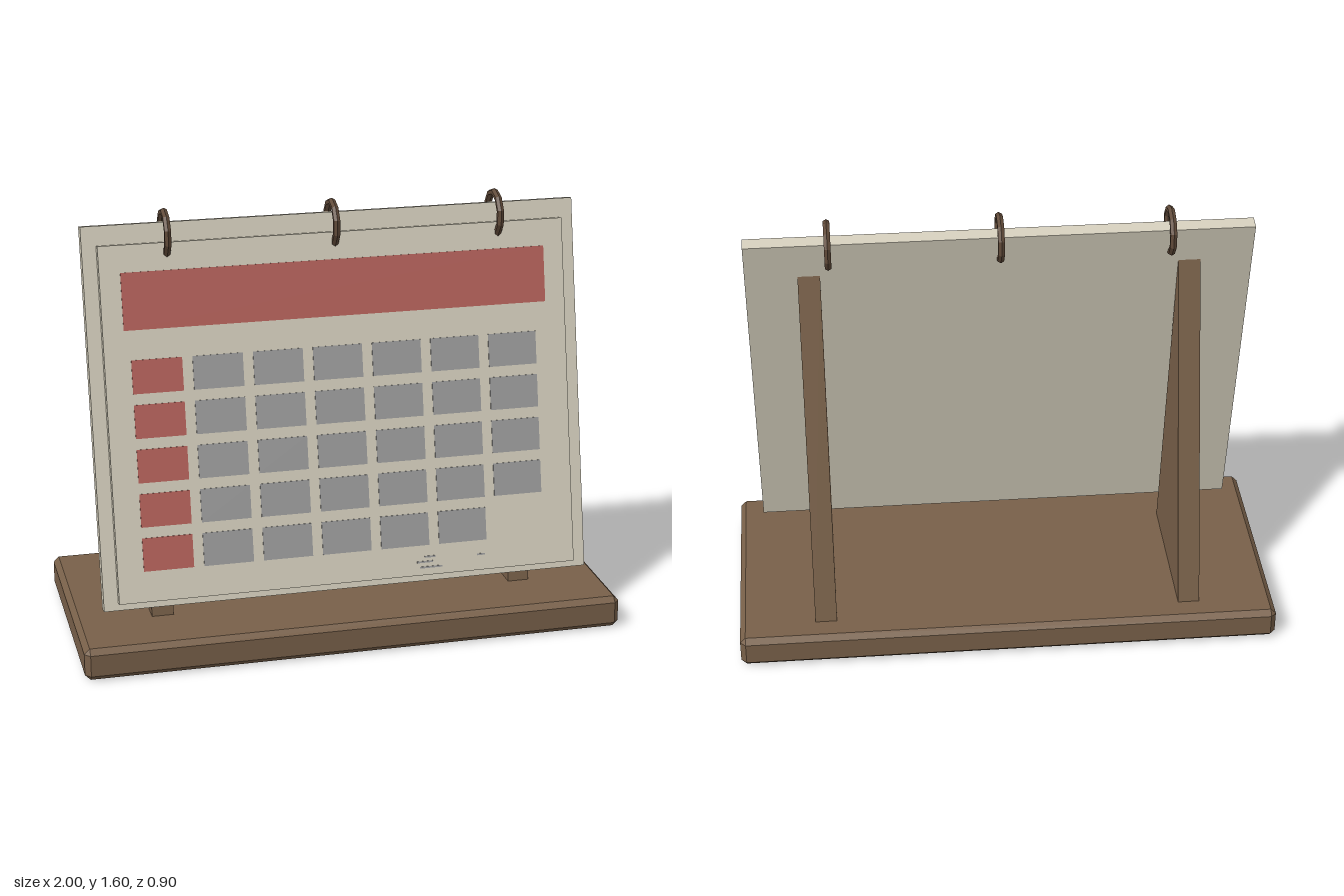
import * as THREE from 'three';
import { ConvexGeometry } from 'three/addons/geometries/ConvexGeometry.js';

const material = (name, color) => {
  const m = new THREE.MeshStandardMaterial({ color });
  m.name = name;
  return m;
};

// Box with a flat chamfer on every edge
function chamferedBox(w, h, d, c) {
  const points = [];
  for (const x of [-w / 2, w / 2]) for (const y of [-h / 2, h / 2]) for (const z of [-d / 2, d / 2]) {
    const cx = x - Math.sign(x) * c, cy = y - Math.sign(y) * c, cz = z - Math.sign(z) * c;
    points.push(new THREE.Vector3(x, cy, cz), new THREE.Vector3(cx, y, cz), new THREE.Vector3(cx, cy, z));
  }
  return new ConvexGeometry(points);
}

export function createModel() {
  const wood = material('wood', 0x786049);
  const ringBrown = material('dark ring', 0x604a39);
  const cream = material('cream paper', 0xd4cebc);
  const red = material('red print', 0xb5625b);
  const grey = material('grey print', 0x9c9c9c);

  const model = new THREE.Group();
  model.name = 'deskCalendar';
  const add = (parent, name, geometry, mat, x = 0, y = 0, z = 0) => {
    const mesh = new THREE.Mesh(geometry, mat);
    mesh.name = name;
    mesh.position.set(x, y, z);
    parent.add(mesh);
    return mesh;
  };

  // Base slab
  add(model, 'base', chamferedBox(2, 0.12, 0.9, 0.02), wood, 0, 0.06, 0);

  // Two triangular supports, profile in z and y
  const profile = new THREE.Shape();
  profile.moveTo(-0.21, 0.11);
  profile.lineTo(0.36, 0.11);
  profile.lineTo(0, 1.405);
  profile.closePath();
  const supportGeometry = new THREE.ExtrudeGeometry(profile, { depth: 0.08, bevelEnabled: false });
  supportGeometry.translate(0, 0, -0.04).rotateY(Math.PI / 2);
  for (const side of [-1, 1]) {
    add(model, side < 0 ? 'rightSupport' : 'leftSupport', supportGeometry, wood, side * 0.68, 0, 0);
  }

  // Leaning panel: origin at the top front edge of the backing board
  const tilt = THREE.MathUtils.degToRad(12);
  const panel = new THREE.Group();
  panel.name = 'leaningPanel';
  panel.position.set(0, 1.547, 0.017);
  panel.rotation.x = -tilt;
  model.add(panel);
  add(panel, 'backingBoard', new THREE.BoxGeometry(1.814, 1.378, 0.05), cream, 0, -0.689, -0.025);
  add(panel, 'page', new THREE.BoxGeometry(1.71, 1.28, 0.033), cream, 0, -0.71, 0.0165);

  // Printed areas, given by their upright extents
  const printed = (name, mat, x0, x1, y0, y1) => {
    const height = (y1 - y0) / Math.cos(tilt);
    const y = ((y0 + y1) / 2 - 1.554) / Math.cos(tilt);
    add(panel, name, new THREE.BoxGeometry(x1 - x0, height, 0.004), mat, (x0 + x1) / 2, y, 0.034);
  };
  printed('banner', red, -0.78, 0.78, 1.19, 1.39);
  for (let row = 0; row < 5; row++) {
    for (let col = 0; col < 7; col++) {
      if (row === 4 && col === 6) continue;
      const x = -0.76 + col * 0.2193, y = 1.086 - row * 0.1563;
      printed(col ? 'dayCell' : 'firstDayCell', col ? grey : red, x, x + 0.182, y - 0.118, y);
    }
  }

  // Small dashes at the foot of the page
  for (const [x0, x1, y] of [[0.28, 0.32, 0.3], [0.25, 0.31, 0.282], [0.26, 0.345, 0.262], [0.48, 0.51, 0.291]]) {
    printed('footDash', grey, x0, x1, y - 0.003, y + 0.003);
  }

  // Faceted binding rings through the top edge
  const ringGeometry = new THREE.TorusGeometry(0.078, 0.0135, 6, 10).toNonIndexed();
  ringGeometry.computeVertexNormals();
  ringGeometry.rotateZ(Math.PI / 10).rotateY(Math.PI / 2);
  for (const x of [-0.61, 0, 0.61]) add(model, 'bindingRing', ringGeometry, ringBrown, x, 1.508, 0.021);

  return model;
}
